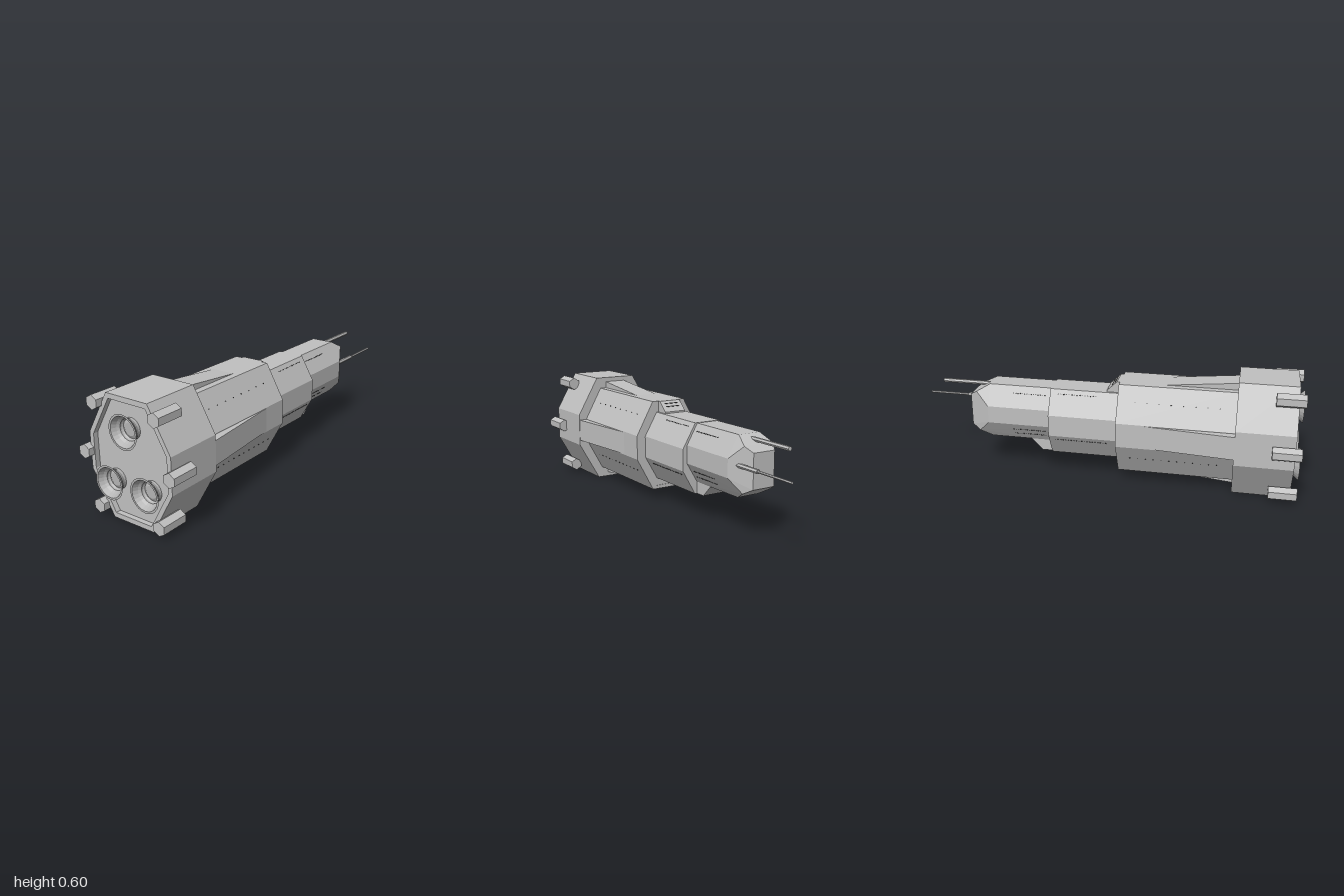
import * as THREE from 'three';
import { mergeGeometries } from 'three/addons/utils/BufferGeometryUtils.js';
import { ConvexGeometry } from 'three/addons/geometries/ConvexGeometry.js';

const make = (name, color) => Object.assign(new THREE.MeshStandardMaterial({ color }), { name });

export function createModel() {
  const ship = new THREE.Group();
  ship.name = 'spaceship';
  const hullGrey = make('hull grey', 0xc0c0c0);
  const windowDark = make('window dark', 0x3a3a3a);
  const add = (name, geo, mat = hullGrey) => {
    const m = new THREE.Mesh(geo, mat);
    m.name = name;
    ship.add(m);
    return m;
  };

  // Octagonal section: half width, half flat width, bottom, lower side, upper side, top
  const octagon = (w, a, y0, y1, y2, y3) =>
    [[a, y0], [w, y1], [w, y2], [a, y3], [-a, y3], [-w, y2], [-w, y1], [-a, y0]]
      .map(([z, y]) => new THREE.Vector2(z, y));
  const prism = (section, x0, x1, hole) => {
    const shape = new THREE.Shape(section);
    if (hole) shape.holes.push(new THREE.Path(hole));
    return new THREE.ExtrudeGeometry(shape, { depth: x1 - x0, bevelEnabled: false })
      .rotateY(Math.PI / 2).translate(x0, 0, 0);
  };
  // Side profile in x and y, extruded across the centre line
  const slab = (points, half) => new THREE.ExtrudeGeometry(
    new THREE.Shape(points.map(p => new THREE.Vector2(...p))),
    { depth: half * 2, bevelEnabled: false }).translate(0, 0, -half);
  // Rod along x
  const rod = (r, x0, x1, y, z) => new THREE.CylinderGeometry(r, r, x1 - x0, 6)
    .toNonIndexed().rotateZ(-Math.PI / 2).translate((x0 + x1) / 2, y, z);

  // Stepped hull
  const engineSection = octagon(0.238, 0.119, 0, 0.21, 0.388, 0.595);
  const rimHole = octagon(0.215, 0.107, 0.025, 0.216, 0.382, 0.57);
  add('engineBlock', prism(engineSection, -0.945, -0.68));
  add('engineRim', prism(engineSection, -0.97, -0.945, rimHole));
  add('mainHull', prism(octagon(0.192, 0.096, 0.06, 0.235, 0.362, 0.535), -0.68, -0.09));
  add('foreHull', prism(octagon(0.143, 0.072, 0.12, 0.243, 0.355, 0.477), -0.09, 0.27));

  // Bow with chamfered nose
  const bow = [];
  for (const s of [-1, 1]) {
    for (const x of [0.27, 0.6]) {
      for (const [z, y] of [[0.06, 0.18], [0.12, 0.28], [0.12, 0.371], [0.06, 0.475]])
        bow.push(new THREE.Vector3(x, y, z * s));
    }
    for (const [x, y, z] of [[0.67, 0.436, 0.082], [0.663, 0.215, 0.082], [0.71, 0.41, 0.06], [0.71, 0.24, 0.06]])
      bow.push(new THREE.Vector3(x, y, z * s));
  }
  add('bow', new ConvexGeometry(bow));

  // Bridge and chin
  add('bridge', slab([[-0.09, 0.47], [-0.022, 0.47], [-0.022, 0.485], [-0.075, 0.535], [-0.09, 0.535]], 0.06));
  add('chin', slab([[0.26, 0.12], [0.325, 0.12], [0.39, 0.185], [0.26, 0.185]], 0.06));
  for (const t of [0.25, 0.53]) {
    add('bridgeWindow', new THREE.BoxGeometry(0.004, 0.004, 0.084)
      .rotateZ(0.8).translate(-0.075 + 0.053 * t, 0.535 - 0.05 * t, 0), windowDark);
  }
  add('lowerBay', new THREE.BoxGeometry(0.004, 0.005, 0.144).translate(-0.089, 0.077, 0));

  // Wedge fairings above, below and on both flanks
  const wedge = (h0, h1, xEnd) => slab([[-0.68, h0 - 0.01], [xEnd, h0 - 0.01], [xEnd, h0], [-0.68, h1]], 0.06);
  for (const [name, turn] of [['topFairing', 0], ['bottomFairing', Math.PI]])
    add(name, wedge(0.2375, 0.273, -0.32).rotateX(turn).translate(0, 0.2975, 0));
  for (const [name, turn] of [['leftFairing', -1], ['rightFairing', 1]])
    add(name, wedge(0.192, 0.236, -0.23).rotateX(turn * Math.PI / 2).translate(0, 0.2985, 0));

  // Six thruster pods
  for (const s of [-1, 1]) {
    for (const [z, y] of [[0.179, 0.545], [0.25, 0.298], [0.179, 0.05]]) {
      const pod = new THREE.CylinderGeometry(0.035, 0.035, 0.14, 6).toNonIndexed();
      pod.rotateZ(-Math.PI / 2).rotateX(Math.PI / 2);
      pod.computeBoundingBox();
      // Points of the hexagon face up and down
      if (pod.boundingBox.max.y < 0.034) pod.rotateX(Math.PI / 6);
      pod.translate(-0.93, y, z * s);
      pod.computeVertexNormals();
      add('thrusterPod', pod);
    }
  }

  // Three flared main nozzles
  const nozzle = [[0, 0.012], [0.03, 0.012], [0.045, 0.004], [0.055, 0.02], [0.072, 0.055], [0.082, 0.055], [0.05, 0.02], [0.05, 0]]
    .map(([r, y]) => new THREE.Vector2(r, y));
  for (const [y, z] of [[0.45, 0], [0.185, 0.105], [0.185, -0.105]]) {
    const geo = new THREE.LatheGeometry(nozzle, 24).toNonIndexed().rotateZ(Math.PI / 2).translate(-0.945, y, z);
    geo.computeVertexNormals();
    const mesh = add('mainNozzle', geo, nozzleMaterial());
    mesh.name = 'mainNozzle';
  }
  function nozzleMaterial() {
    return (ship.userData.nozzle ??= Object.assign(make('nozzle grey', 0xb4b4b4), { side: THREE.DoubleSide }));
  }
  delete ship.userData.nozzle;

  // Gun and sensor masts
  for (const [name, r, x0, x1, y, z] of [
    ['upperMast', 0.011, 0.6, 0.88, 0.455, 0], ['lowerMastBase', 0.011, 0.62, 0.78, 0.345, 0.09],
    ['lowerMastTip', 0.006, 0.78, 1, 0.345, 0.09]]) {
    const geo = rod(r, x0, x1, y, z);
    geo.computeVertexNormals();
    add(name, geo);
  }

  // Rows of tiny windows on slanted faces: x start, x end, y, z, tilt, spacing
  const dots = [];
  const up = Math.PI / 6;
  for (const [x0, x1, y, z, tilt, step] of [
    [0.3, 0.48, 0.44, 0.0803, up, 0.012], [0.3, 0.48, 0.245, 0.099, -up, 0.012],
    [0.3, 0.48, 0.215, 0.081, -up, 0.012], [0.03, 0.24, 0.455, 0.0848, up, 0.014],
    [-0.03, 0.24, 0.22, 0.1297, -up, 0.014], [-0.6, -0.14, 0.16, 0.1508, -up, 0.04],
    [-0.6, -0.14, 0.46, 0.1376, up, 0.06]]) {
    for (const s of [-1, 1]) {
      for (let x = x0; x <= x1; x += step)
        dots.push(new THREE.BoxGeometry(0.006, 0.004, 0.004).rotateX(-tilt * s).translate(x, y, z * s));
    }
  }
  add('windows', mergeGeometries(dots), windowDark);

  return ship;
}
